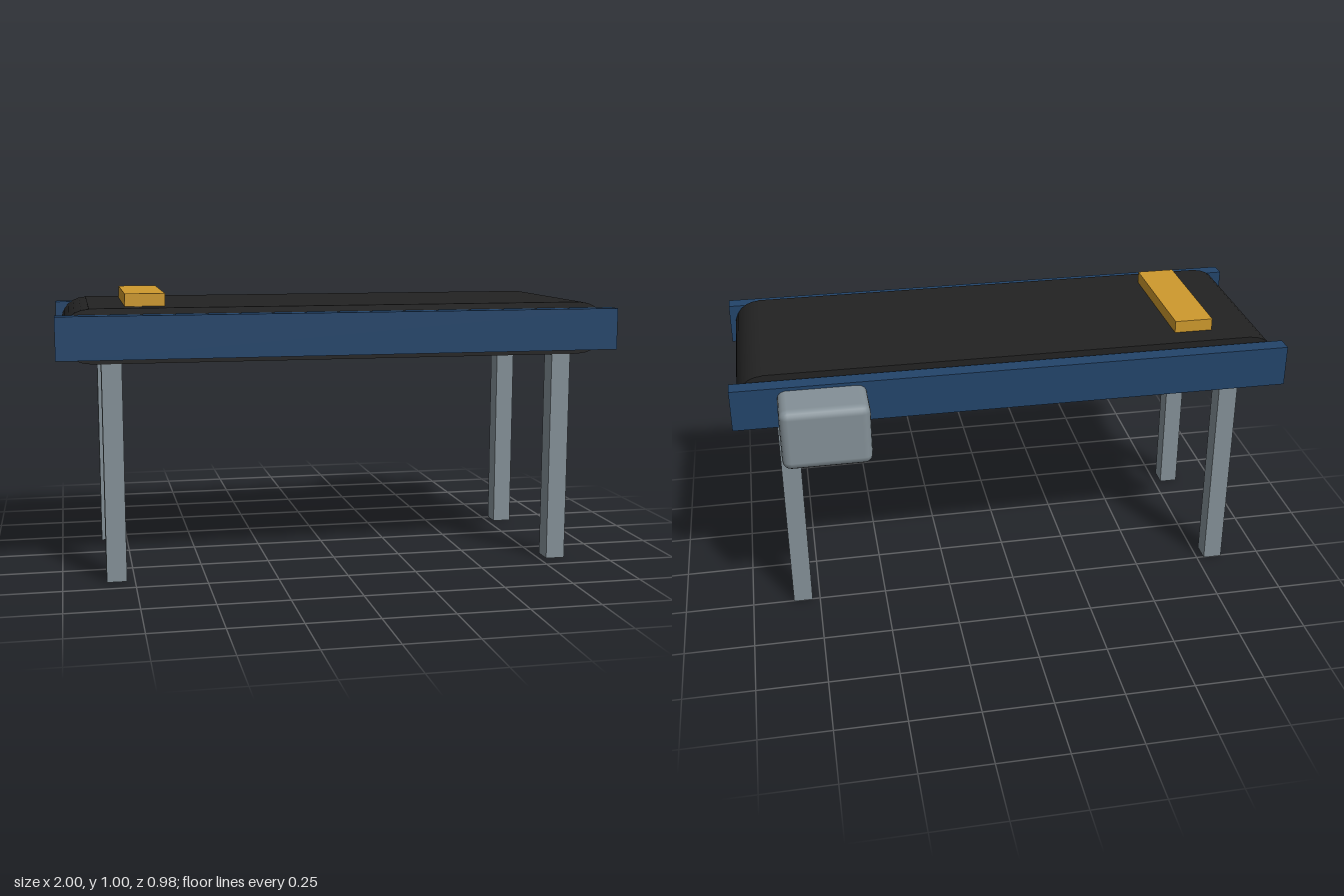
import * as THREE from 'three';
import { RoundedBoxGeometry } from 'three/addons/geometries/RoundedBoxGeometry.js';

const flat = (name, color) => {
  const m = new THREE.MeshStandardMaterial({ color });
  m.name = name;
  return m;
};

export function createModel() {
  const blue = flat('blue paint', 0x22446a);
  const rubber = flat('black rubber', 0x222222);
  const steel = flat('grey steel', 0x849097);
  const amber = flat('amber parcel', 0xce992d);

  const model = new THREE.Group();
  model.name = 'conveyor';

  const add = (name, geometry, material, x, y, z) => {
    const mesh = new THREE.Mesh(geometry, material);
    mesh.name = name;
    mesh.position.set(x, y, z);
    model.add(mesh);
    return mesh;
  };

  const midZ = 0.084; // centre line of the belt
  const beltY = 0.864;
  const beltWidth = 0.676;

  // Belt bed
  add('belt', new THREE.BoxGeometry(1.77, 0.19, beltWidth), rubber, 0, beltY, midZ);

  for (const side of [-1, 1]) {
    // End roller
    const roller = add('roller', new THREE.CylinderGeometry(0.0935, 0.0935, beltWidth, 24),
      rubber, side * 0.886, beltY, midZ);
    roller.rotation.x = Math.PI / 2;

    // Side rail
    add('sideRail', new THREE.BoxGeometry(2, 0.149, 0.061), blue, 0, beltY, midZ + side * 0.375);

    // Pair of legs
    for (const end of [-1, 1]) {
      add('leg', new THREE.BoxGeometry(0.07, 0.769, 0.074), steel,
        end * 0.813, 0.3845, midZ + side * 0.301);
    }
  }

  // Drive motor housing behind the back rail
  add('motor', new RoundedBoxGeometry(0.308, 0.223, 0.223, 2, 0.03), steel, 0.686, 0.815, -0.378);

  // Parcel lying on the belt
  add('parcel', new THREE.BoxGeometry(0.14, 0.044, 0.5), amber, -0.69, 0.981, midZ);

  return model;
}
